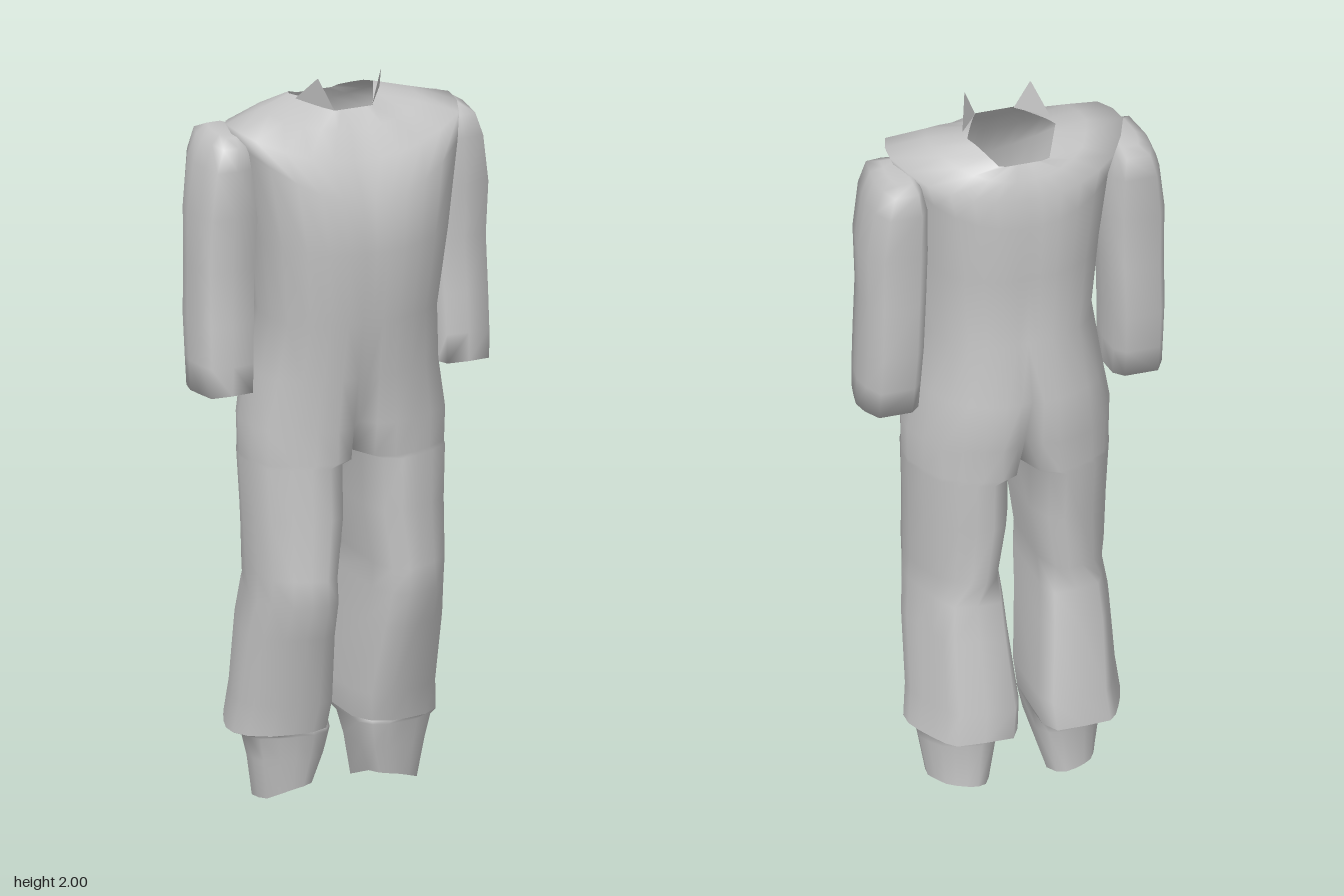
import * as THREE from 'three';
import { mergeVertices, mergeGeometries } from 'three/addons/utils/BufferGeometryUtils.js';

const cloth = new THREE.MeshStandardMaterial({ color: 0xc4c4c4, side: THREE.DoubleSide });
cloth.name = 'grey cloth';

// Half sections of the body: u runs from the inner seam out, w from front to back,
// k scales how far the seam is set in.
const TORSO = [[0, 0, 1], [0.12, 0, 0.25], [0.3, 0, 0], [0.5, 0.03, 0], [0.7, 0.08, 0],
  [0.91, 0.17, 0], [0.98, 0.34, 0], [1, 0.51, 0], [0.92, 0.67, 0], [0.8, 0.83, 0],
  [0.64, 0.915, 0], [0.46, 0.97, 0], [0.28, 1, 0], [0.12, 1, 0.2], [0, 1, 1]];
const SHIN = [[0, 0, 1], [0.12, 0, 0.25], [0.3, 0, 0], [0.5, 0.02, 0], [0.72, 0.07, 0],
  [0.91, 0.19, 0], [0.99, 0.33, 0], [0.99, 0.46, 0], [0.93, 0.6, 0], [0.85, 0.74, 0],
  [0.77, 0.86, 0], [0.68, 0.94, 0], [0.4, 0.97, 0], [0.1, 1, 0.1], [0, 1, 0.7]];

// Half outline of the angular neck opening: [x, y, z]
const NECK = [[0, 1.915, 0.1], [0.018, 1.915, 0.1], [0.036, 1.915, 0.1], [0.055, 1.915, 0.1],
  [0.075, 1.92, 0.06], [0.092, 1.925, 0.025], [0.108, 1.93, -0.01], [0.122, 1.93, -0.04],
  [0.108, 1.925, -0.07], [0.088, 1.91, -0.11], [0.07, 1.895, -0.145], [0.05, 1.89, -0.145],
  [0.034, 1.89, -0.145], [0.016, 1.89, -0.145], [0, 1.89, -0.145]];

// Squarish closed section of a sleeve.
const SLEEVE = [[0.12, 0.03], [0.5, 0], [0.88, 0.02], [0.95, 0.28], [1, 0.52], [0.94, 0.76],
  [0.78, 1], [0.2, 1], [0.04, 0.86], [0, 0.5], [0.03, 0.2]];

// Rings: [y front, y side, y back, x inner, x outer, z front, z back, seam inset]
const torsoRings = [
  [1.87, 1.91, 1.85, 0, 0.215, 0.14, -0.165, 0],
  [1.8, 1.885, 1.8, 0, 0.322, 0.19, -0.183, 0],
  [1.7, 1.83, 1.72, 0, 0.297, 0.24, -0.192, 0],
  [1.56, 1.58, 1.56, 0, 0.262, 0.25, -0.188, 0],
  [1.36, 1.36, 1.36, 0, 0.237, 0.225, -0.18, 0],
  [1.2, 1.2, 1.2, 0, 0.255, 0.2, -0.22, 0.01],
  [1.06, 1.06, 1.06, 0, 0.28, 0.19, -0.21, 0.13],
  [0.965, 0.965, 0.965, 0, 0.278, 0.185, -0.203, 0.26],
  [0.955, 0.955, 0.955, 0.03, 0.278, 0.185, -0.202, 0.26],
  [0.81, 0.81, 0.81, 0.03, 0.272, 0.187, -0.19, 0.25],
  [0.65, 0.65, 0.65, 0.055, 0.267, 0.198, -0.18, 0.25],
];
const CROTCH = 8; // the inner leg wall starts here, counting the neck as ring 0

const hem = [0.2, 0.19, 0.2, 0.035, 0.295, 0.092, -0.248, 0.22];
const shinRings = [
  [0.58, 0.58, 0.58, 0.052, 0.267, 0.2, -0.187, 0.25],
  [0.48, 0.48, 0.48, 0.045, 0.28, 0.165, -0.205, 0.25],
  [0.28, 0.28, 0.28, 0.026, 0.285, 0.112, -0.24, 0.25],
  hem,
];

const ankleRings = [
  hem,
  [0.19, 0.185, 0.185, 0.04, 0.265, 0.09, -0.145, 0.22],
  [0.12, 0.12, 0.12, 0.055, 0.25, 0.075, -0.125, 0.22],
  [0.045, 0.005, 0, 0.08, 0.23, 0.06, -0.13, 0.2],
];

// Sleeve rings: [y, x inner, x outer, z front, z back]
const sleeveRings = [
  [1.86, 0.28, 0.345, 0.04, -0.1],
  [1.842, 0.265, 0.377, 0.08, -0.135],
  [1.78, 0.25, 0.402, 0.086, -0.143],
  [1.65, 0.245, 0.42, 0.085, -0.133],
  [1.5, 0.25, 0.418, 0.071, -0.13],
  [1.35, 0.256, 0.42, 0.08, -0.13],
  [1.24, 0.26, 0.42, 0.087, -0.115],
  [1.16, 0.262, 0.42, 0.085, -0.1],
];

const lerp = THREE.MathUtils.lerp;

function halfRing(section, [yF, yS, yB, xi, xo, zf, zb, inset]) {
  return section.map(([u, w, k]) => {
    const depth = w < 0.5 ? w + inset * k : w - inset * k;
    return [lerp(xi, xo, u), lerp(lerp(yF, yB, w), yS, u * u), lerp(zf, zb, depth)];
  });
}

function sleeveRing([y, xi, xo, zf, zb]) {
  return SLEEVE.map(([u, w]) => [lerp(xi, xo, u), y, lerp(zf, zb, w)]);
}

// Skin between rings; each ring is closed from ring number closeFrom onward.
function loft(rings, side, closeFrom = 0, capped = false) {
  const n = rings[0].length;
  const last = (rings.length - 1) * n;
  const index = [];
  const tri = (a, b, c) => (side > 0 ? index.push(a, b, c) : index.push(a, c, b));
  for (let r = 0; r < rings.length - 1; r++) {
    for (let i = 0; i < (r >= closeFrom ? n : n - 1); i++) {
      const j = (i + 1) % n;
      const a = r * n + i, b = r * n + j;
      tri(a, a + n, b);
      tri(b, a + n, b + n);
    }
  }
  if (capped) {
    for (let i = 1; i < n - 1; i++) {
      tri(0, i, i + 1);
      tri(last, last + i + 1, last + i);
    }
  }
  const geo = new THREE.BufferGeometry();
  const points = rings.flat().flatMap(([x, y, z]) => [x * side, y, z]);
  geo.setAttribute('position', new THREE.Float32BufferAttribute(points, 3));
  geo.setIndex(index);
  return geo;
}

function part(name, geo) {
  geo.computeVertexNormals();
  const mesh = new THREE.Mesh(geo, cloth);
  mesh.name = name;
  return mesh;
}

export function createModel() {
  const group = new THREE.Group();
  group.name = 'coverall';

  // Torso and trouser legs, two mirrored halves welded along the middle
  const body = [
    NECK,
    ...torsoRings.map((r) => halfRing(TORSO, r)),
    ...shinRings.map((r) => halfRing(SHIN, r)),
  ];
  const halves = [1, -1].map((s) => loft(body, s, CROTCH));
  group.add(part('torsoAndTrousers', mergeVertices(mergeGeometries(halves), 1e-4)));

  for (const [side, label] of [[1, 'left'], [-1, 'right']]) {
    // Narrow open ankle below the baggy hem
    const ankle = ankleRings.map((r) => halfRing(r === hem ? SHIN : TORSO, r));
    group.add(part(label + 'Ankle', loft(ankle, side)));

    // Sleeve, closed at the shoulder and cuff
    group.add(part(label + 'Sleeve', loft(sleeveRings.map(sleeveRing), side, 0, true)));

    // Pointed collar flap
    const collar = [[[0.09, 2, 0.075], [0.092, 2, 0.073]], [[0.053, 1.912, 0.1], [0.122, 1.928, 0]]];
    group.add(part(label + 'CollarPoint', loft(collar, side, 1)));
  }
  return group;
}
